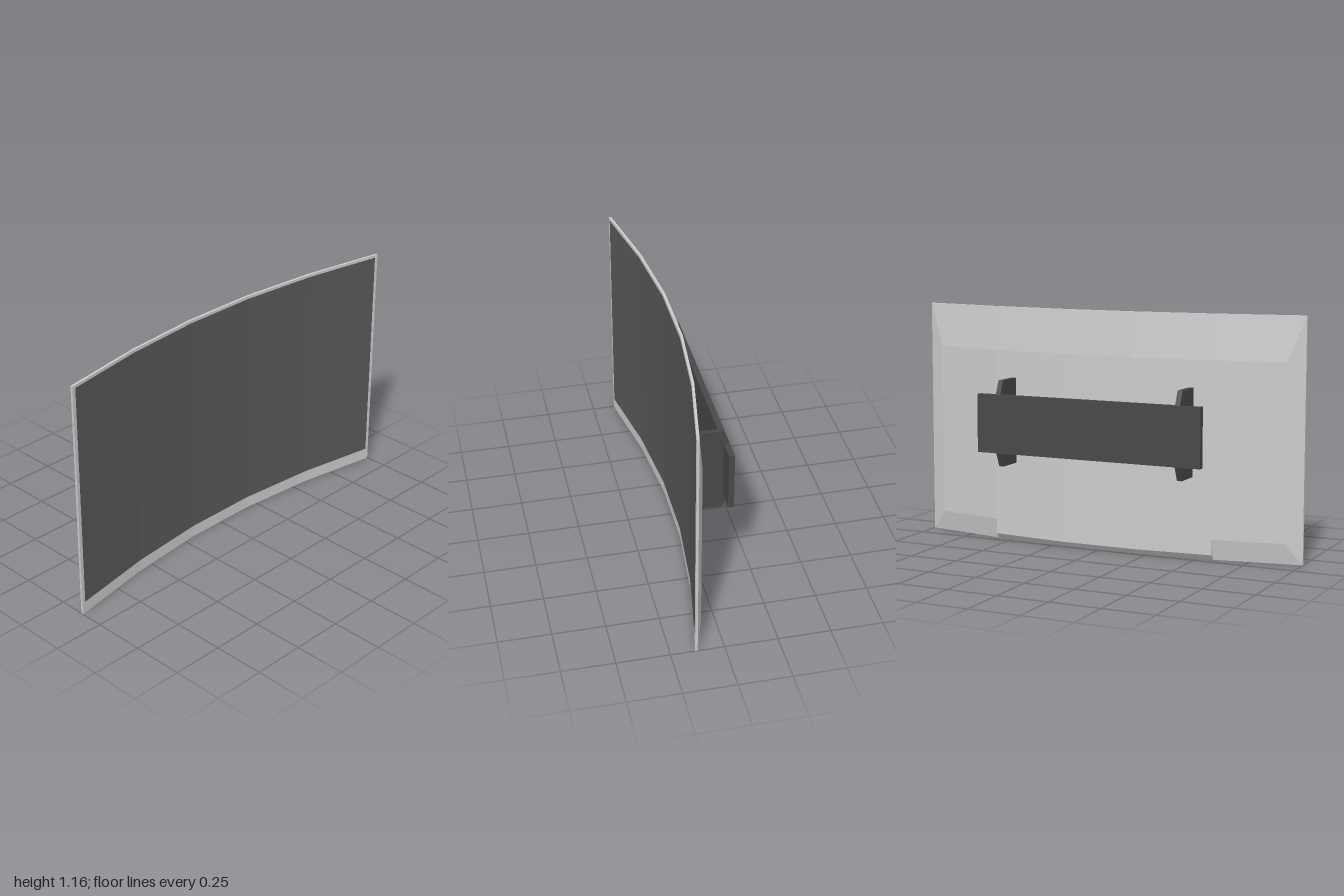
import * as THREE from 'three';

const TOP = 1.165, RIM = 0.012, BULGE = 0.031;
const XS = [-1, -0.92, -0.58, -0.19, 0.19, 0.58, 0.92, 1];

// front surface depth: five flat facets bending towards the viewer
function frontZ(x) {
  const bends = [[0, 0.028], [0.19, 0.028], [0.58, 0.064], [1, 0.137]];
  const a = Math.abs(x);
  const i = a > 0.58 ? 2 : a > 0.19 ? 1 : 0;
  const [x0, z0] = bends[i], [x1, z1] = bends[i + 1];
  return z0 + (z1 - z0) * (a - x0) / (x1 - x0);
}

// collects quads (corners counter-clockwise from outside) into a flat shaded geometry
function surface(quads) {
  const pos = [];
  for (const [a, b, c, d] of quads) {
    pos.push(...a, ...b, ...c);
    if (d) pos.push(...a, ...c, ...d);
  }
  const g = new THREE.BufferGeometry();
  g.setAttribute('position', new THREE.Float32BufferAttribute(pos, 3));
  g.computeVertexNormals();
  return g;
}

const front = (x, y, lift = 0) => [x, y, frontZ(x) + lift];
const rim = (x, y) => [x, y, frontZ(x) - RIM];
const bulge = (x, y) => [x, y, frontZ(x) - BULGE];

// back column points from bottom to top; at the outer edges the column shrinks to the rim
function backColumn(x, low) {
  if (Math.abs(x) === 1) return [rim(x, 0), rim(x, 0), rim(x, TOP), rim(x, TOP)];
  return [rim(x, 0), bulge(x, low), bulge(x, 0.95), rim(x, TOP)];
}

function housingGeometry() {
  const quads = [];
  for (let i = 0; i < XS.length - 1; i++) {
    const a = XS[i], b = XS[i + 1];
    // front, top and bottom rims
    quads.push([front(a, 0), front(b, 0), front(b, TOP), front(a, TOP)]);
    quads.push([front(a, TOP), front(b, TOP), rim(b, TOP), rim(a, TOP)]);
    quads.push([front(a, 0), rim(a, 0), rim(b, 0), front(b, 0)]);
    // back with sloped margins, taller below on the end facets
    const low = Math.abs(a + b) / 2 > 0.58 ? 0.1 : 0.025;
    const ca = backColumn(a, low), cb = backColumn(b, low);
    for (let j = 0; j < 3; j++) quads.push([ca[j], ca[j + 1], cb[j + 1], cb[j]]);
  }
  // side rims
  quads.push([front(1, 0), rim(1, 0), rim(1, TOP), front(1, TOP)]);
  quads.push([front(-1, 0), front(-1, TOP), rim(-1, TOP), rim(-1, 0)]);
  // small steps where the lower slope changes height
  quads.push([rim(0.58, 0), bulge(0.58, 0.025), bulge(0.58, 0.1)]);
  quads.push([rim(-0.58, 0), bulge(-0.58, 0.1), bulge(-0.58, 0.025)]);
  return surface(quads);
}

function screenGeometry() {
  const xs = [-0.983, -0.58, -0.19, 0.19, 0.58, 0.983];
  const quads = [];
  for (let i = 0; i < xs.length - 1; i++) {
    const a = xs[i], b = xs[i + 1], lift = 0.0015;
    quads.push([front(a, 0.06, lift), front(b, 0.06, lift), front(b, 1.152, lift), front(a, 1.152, lift)]);
  }
  return surface(quads);
}

export function createModel() {
  const group = new THREE.Group();
  const grey = new THREE.MeshStandardMaterial({ color: 0xcccccc, flatShading: true, side: THREE.DoubleSide });
  const screenMat = new THREE.MeshStandardMaterial({ color: 0x5a5a5a, flatShading: true });
  const mountMat = new THREE.MeshStandardMaterial({ color: 0x484848, flatShading: true });
  const add = (name, geometry, material) => {
    const mesh = new THREE.Mesh(geometry, material);
    mesh.name = name;
    group.add(mesh);
    return mesh;
  };

  add('housing', housingGeometry(), grey);
  add('screen', screenGeometry(), screenMat);

  // wall mount: horizontal plate
  add('mountPlate', new THREE.BoxGeometry(1.174, 0.287, 0.028), mountMat).position.set(0, 0.6065, -0.123);

  // wall mount: two upright brackets with chamfered rear corners, profile in (-z, y)
  const profile = [[-0.023, 0.395], [0.107, 0.395], [0.136, 0.463], [0.136, 0.75], [0.107, 0.818], [-0.023, 0.818]];
  const shape = new THREE.Shape(profile.map(([u, v]) => new THREE.Vector2(u, v)));
  const bracket = new THREE.ExtrudeGeometry(shape, { depth: 0.025, bevelEnabled: false });
  bracket.translate(0, 0, -0.0125);
  bracket.rotateY(Math.PI / 2);
  for (const side of [1, -1]) {
    add(side > 0 ? 'leftBracket' : 'rightBracket', bracket, mountMat).position.x = side * 0.472;
  }
  return group;
}
